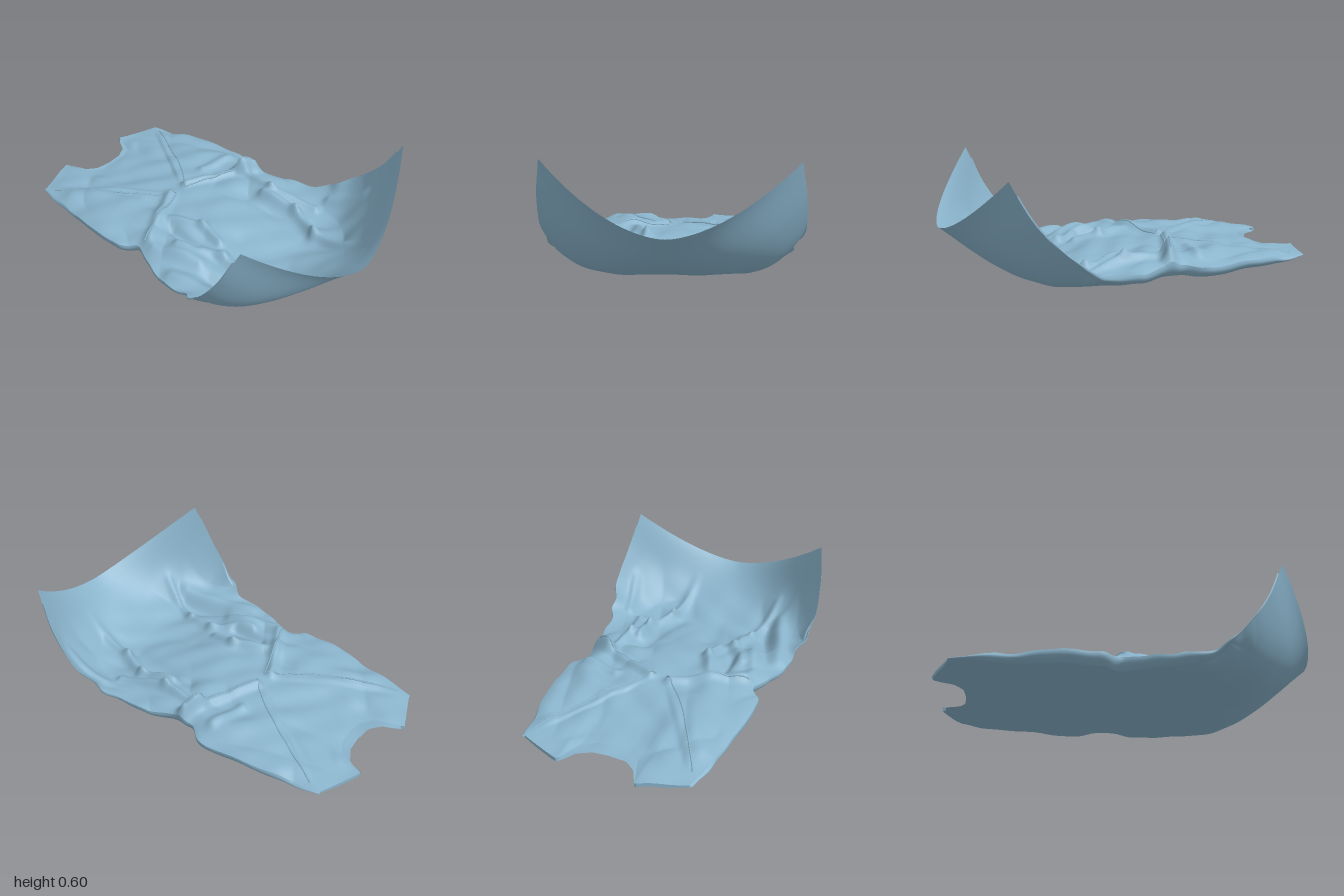
import * as THREE from 'three';

const V = (a) => new THREE.CatmullRomCurve3(a.map((p) => new THREE.Vector3(...p)), false, 'catmullrom', 0.5);
const smooth = THREE.MathUtils.smoothstep;

// Lengthwise guides from shoulder to hem: centre = [puff, y, z], edge = [half width, y, z]
const centre = V([[0.02, 0.03, -0.92], [0.065, 0.02, -0.6], [0.1, 0.014, -0.28], [0.11, 0.012, -0.07],
  [0.1, 0.01, 0.15], [0.055, 0.012, 0.4], [0.024, 0.035, 0.6], [0.012, 0.13, 0.8], [0.008, 0.29, 1]]);
const edge = V([[0.44, 0.035, -0.92], [0.51, 0.025, -0.6], [0.545, 0.025, -0.28], [0.48, 0.028, -0.07],
  [0.545, 0.032, 0.13], [0.585, 0.08, 0.35], [0.635, 0.22, 0.51], [0.63, 0.39, 0.65], [0.595, 0.6, 0.755]]);

// Shoulder and neck outline: z of the top edge at distance x from the middle
const neck = (x, scoop) => {
  const pts = [[0, scoop], [0.09, scoop - 0.008], [0.155, scoop - 0.05], [0.21, -0.985], [0.45, -0.89]];
  for (let i = 1; i < pts.length; i++) {
    const [a, b] = [pts[i - 1], pts[i]];
    if (x <= b[0]) return a[1] + (b[1] - a[1]) * (x - a[0]) / (b[0] - a[0]);
  }
  return -0.89;
};

// Cloth folds: x, z of both ends, height, width
const folds = [
  [-0.42, -0.06, -0.06, -0.25, 0.03, 0.03], [0.06, -0.24, 0.46, -0.06, 0.035, 0.025],
  [0.38, -0.09, 0.46, -0.06, 0.075, 0.035], [-0.22, -0.08, -0.15, 0.08, 0.03, 0.03],
  [-0.15, 0.08, -0.17, 0.22, 0.03, 0.025], [-0.34, 0.08, -0.23, 0.3, 0.025, 0.03],
  [-0.23, 0.3, -0.27, 0.5, 0.025, 0.035], [-0.27, 0.5, -0.35, 0.75, 0.025, 0.025],
  [-0.44, 0, -0.36, 0.25, 0.025, 0.035], [0.38, -0.05, 0.36, 0.15, 0.03, 0.025],
  [0.36, 0.15, 0.43, 0.42, 0.03, 0.025], [0.3, 0.14, 0.33, 0.35, 0.03, 0.025],
  [0.33, 0.35, 0.25, 0.55, 0.035, 0.03], [0.25, 0.55, 0.22, 0.85, 0.025, 0.025],
  [-0.52, 0.2, -0.4, 0.65, 0.025, 0.04], [0.52, 0.45, 0.56, 0.65, 0.03, 0.03],
  [0.25, -0.28, 0.44, -0.23, 0.025, 0.03], [-0.4, -0.7, -0.2, -0.35, 0.012, 0.05],
  [-0.28, -0.02, -0.28, 0.15, -0.03, 0.03], [0.25, 0.1, 0.2, 0.5, -0.02, 0.05],
  [-0.07, 0.3, -0.05, 0.58, -0.012, 0.06], [-0.4, 0.35, -0.33, 0.6, -0.02, 0.04]];
const foldHeight = (x, z) => folds.reduce((sum, [x0, z0, x1, z1, h, w]) => {
  const dx = x1 - x0, dz = z1 - z0;
  const t = THREE.MathUtils.clamp(((x - x0) * dx + (z - z0) * dz) / (dx * dx + dz * dz), 0, 1);
  const d = Math.hypot(x - x0 - t * dx, z - z0 - t * dz);
  return sum + h * Math.exp(-((d / w) ** 2));
}, 0);
const ripple = (x, z) => Math.sin(13 * x + 5 * z + 2 * Math.sin(7 * z)) * Math.sin(11 * z - 4 * x)
  + 0.5 * Math.sin(27 * x - 9 * z) * Math.sin(23 * z + 6 * x);
// Sharp creases where two waves cross
const crease = (x, z) => Math.abs(Math.sin(9 * x + 6 * z + Math.sin(8 * z))) * Math.abs(Math.sin(14 * x - 5 * z + 1)) - 0.4;

// Point on the draped outline; u runs across, s from shoulder to hem
function drape(u, s, scoop, inset) {
  const c = centre.getPoint(s), e = edge.getPoint(s), a = Math.abs(u);
  const hem = smooth(s, 0.6, 1);
  const w = a ** (6 - 4.3 * hem);
  const rag = 0.012 * Math.sin(s * 31 + 2 * Math.sin(s * 19) + u) * a ** 6 * smooth(s, 0, 0.1) * (1 - hem);
  const x = u * (e.x + rag - inset * smooth(s, 0, 0.2) * (1 - smooth(s, 0.55, 0.85)));
  let z = c.z + (e.z - c.z) * w + 0.045 * u * a * hem;
  z += (neck(Math.abs(x), scoop) - (u < 0 ? 0.012 : -0.01) * (1 - smooth(0.2 - Math.abs(x), 0, 0.1)) + 0.92) * Math.max(0, 1 - s * 6);
  const y = c.y + (e.y - c.y) * w + 0.006 * ripple(x, z) * (1 - hem);
  return new THREE.Vector3(x, Math.max(0, y), z);
}
const backPoint = (u, s) => drape(u, s, -0.84, 0.035);

// Front panel: lifted by puff, folds and the crossed bodice, rounding over at the sides
function frontPoint(u, s) {
  const p = drape(u, s, -0.79, 0), a = Math.abs(u);
  const flat = 1 - smooth(s, 0.75, 0.95), start = smooth(s, 0, 0.1);
  const side = 1 - (0.45 + 0.55 * smooth(s, 0.65, 0.85)) * a ** 6;
  const vLine = 0.03 + 0.39 * Math.max(0, (-0.25 - p.z) / 0.61);
  const lapel = 0.014 * smooth(-p.z, 0.24, 0.4) * smooth(Math.abs(p.x) - vLine, -0.012, 0.012);
  const h = side * (centre.getPoint(s).x + lapel * start + flat * (foldHeight(p.x, p.z)
    + start * (0.007 * ripple(p.x + 0.3, p.z) + 0.022 * crease(p.x, p.z) * smooth(a, 0.1, 0.5))));
  const lift = Math.max(0.006, h);
  p.y += lift;
  p.z -= lift * 0.8 * smooth(s, 0.6, 0.9);
  return p;
}

// Grid of points turned into a smooth sheet
function sheet(point, nu, ns, flip, uMin = -1, uMax = 1, sMin = 0, sMax = 1) {
  const pos = [], idx = [];
  for (let j = 0; j <= ns; j++) for (let i = 0; i <= nu; i++) {
    pos.push(...point(uMin + (uMax - uMin) * i / nu, sMin + (sMax - sMin) * j / ns).toArray());
  }
  for (let j = 0; j < ns; j++) for (let i = 0; i < nu; i++) {
    const a = j * (nu + 1) + i, b = a + 1, c = a + nu + 1, d = c + 1;
    idx.push(...(flip ? [a, b, c, b, d, c] : [a, c, b, b, c, d]));
  }
  const g = new THREE.BufferGeometry();
  g.setAttribute('position', new THREE.Float32BufferAttribute(pos, 3));
  g.setIndex(idx);
  g.computeVertexNormals();
  return g;
}

export function createModel() {
  const group = new THREE.Group();
  group.name = 'dress';
  const cloth = new THREE.MeshStandardMaterial({ color: 0x8ab4cc, side: THREE.DoubleSide });
  const add = (name, geometry) => {
    const m = new THREE.Mesh(geometry, cloth);
    m.name = name;
    group.add(m);
  };

  const frontEnd = 0.96;
  add('backPanel', sheet(backPoint, 90, 130, true));
  add('frontPanel', sheet(frontPoint, 120, 180, false, -1, 1, 0, frontEnd));

  // Side seams and shoulders joining both panels
  for (const k of [-1, 1]) {
    add(k > 0 ? 'leftSideSeam' : 'rightSideSeam', sheet((t, s) => {
      const p = backPoint(k, s).lerp(frontPoint(k, s), t);
      p.x += k * 0.014 * Math.sin(Math.PI * t) * (1 - smooth(s, 0.6, 0.85));
      return p;
    }, 6, 130, k < 0, 0, 1, 0, frontEnd));
    add(k > 0 ? 'leftShoulder' : 'rightShoulder', sheet((t, u) =>
      backPoint(k * u, 0).lerp(frontPoint(k * u, 0), t), 1, 30, k > 0, 0, 1, 0.46, 1));
  }

  // Piped edges of the crossed bodice and the waist seam
  const seam = (name, from, to) => {
    const pts = Array.from({ length: 24 }, (_, i) => {
      const t = i / 23;
      return frontPoint(from[0] + (to[0] - from[0]) * t, from[1] + (to[1] - from[1]) * t);
    });
    add(name, new THREE.TubeGeometry(new THREE.CatmullRomCurve3(pts), 60, 0.005, 6));
  };
  for (const k of [-1, 1]) {
    const sideName = k > 0 ? 'left' : 'right';
    seam(sideName + 'LapelEdge', [0.93 * k, 0.03], [0.06 * k, 0.28]);
    seam(sideName + 'WaistSeam', [0.06 * k, 0.28], [0.92 * k, 0.375]);
  }
  return group;
}
